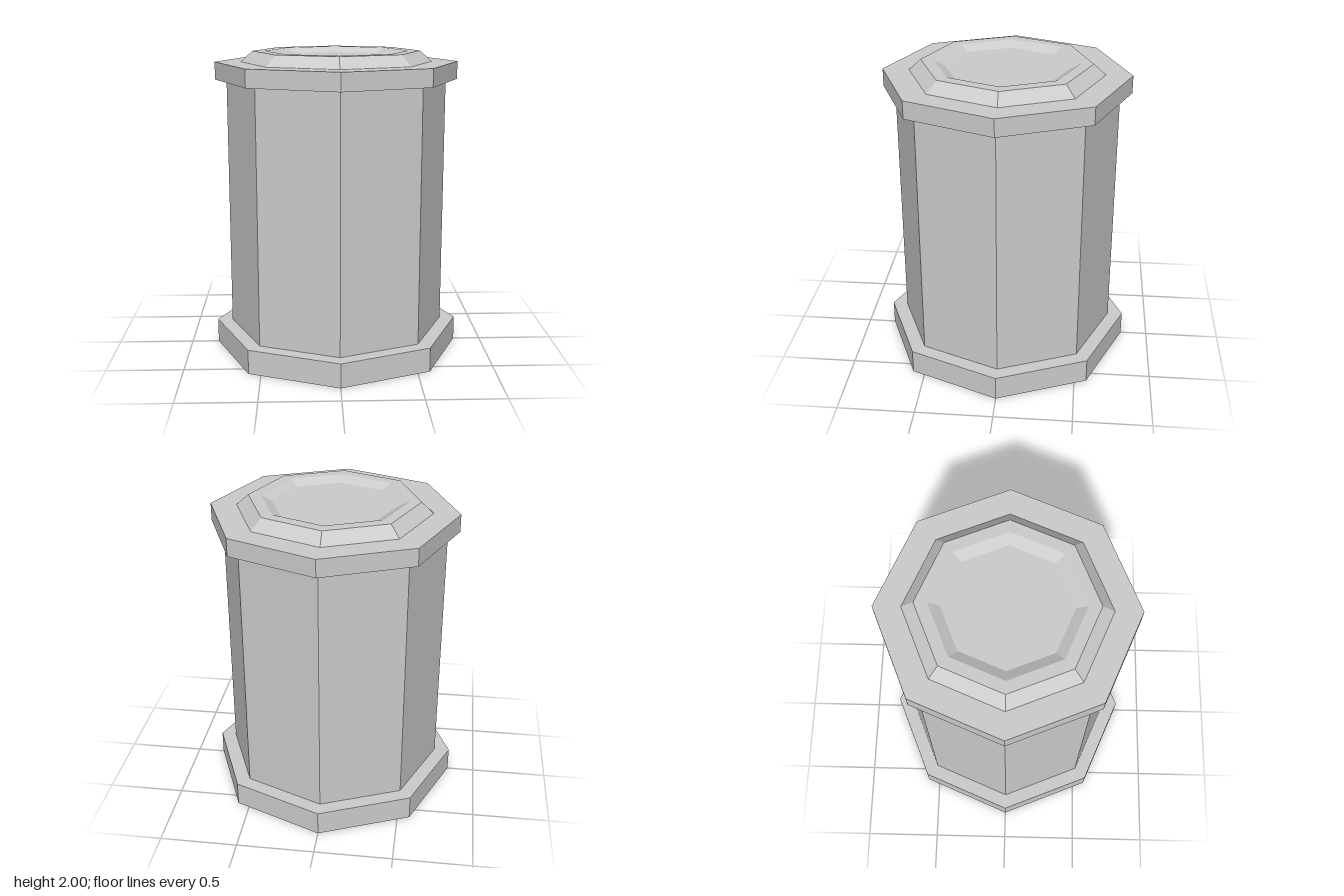
import * as THREE from 'three';

const material = new THREE.MeshStandardMaterial({ color: 0xcccccc, flatShading: true });

// Octagonal solid from a [radius, y] profile listed bottom to top, corners on the axes
function octagon(name, profile) {
  const points = profile.map(([r, y]) => new THREE.Vector2(r, y));
  const mesh = new THREE.Mesh(new THREE.LatheGeometry(points, 8), material);
  mesh.name = name;
  return mesh;
}

export function createModel() {
  const group = new THREE.Group();
  group.name = 'octagonalPedestal';

  // Wide foot slab
  group.add(octagon('base', [[0, 0], [0.82, 0], [0.82, 0.16], [0.72, 0.16]]));

  // Straight eight-sided shaft
  group.add(octagon('shaft', [[0.72, 0.16], [0.72, 1.815]]));

  // Overhanging cap slab
  group.add(octagon('cap', [[0.72, 1.815], [0.795, 1.815], [0.795, 1.93], [0.625, 1.93]]));

  // Bevelled rim around a shallow dished recess
  group.add(octagon('rim', [[0.625, 1.93], [0.547, 2], [0.467, 2], [0.397, 1.965], [0, 1.965]]));

  return group;
}
